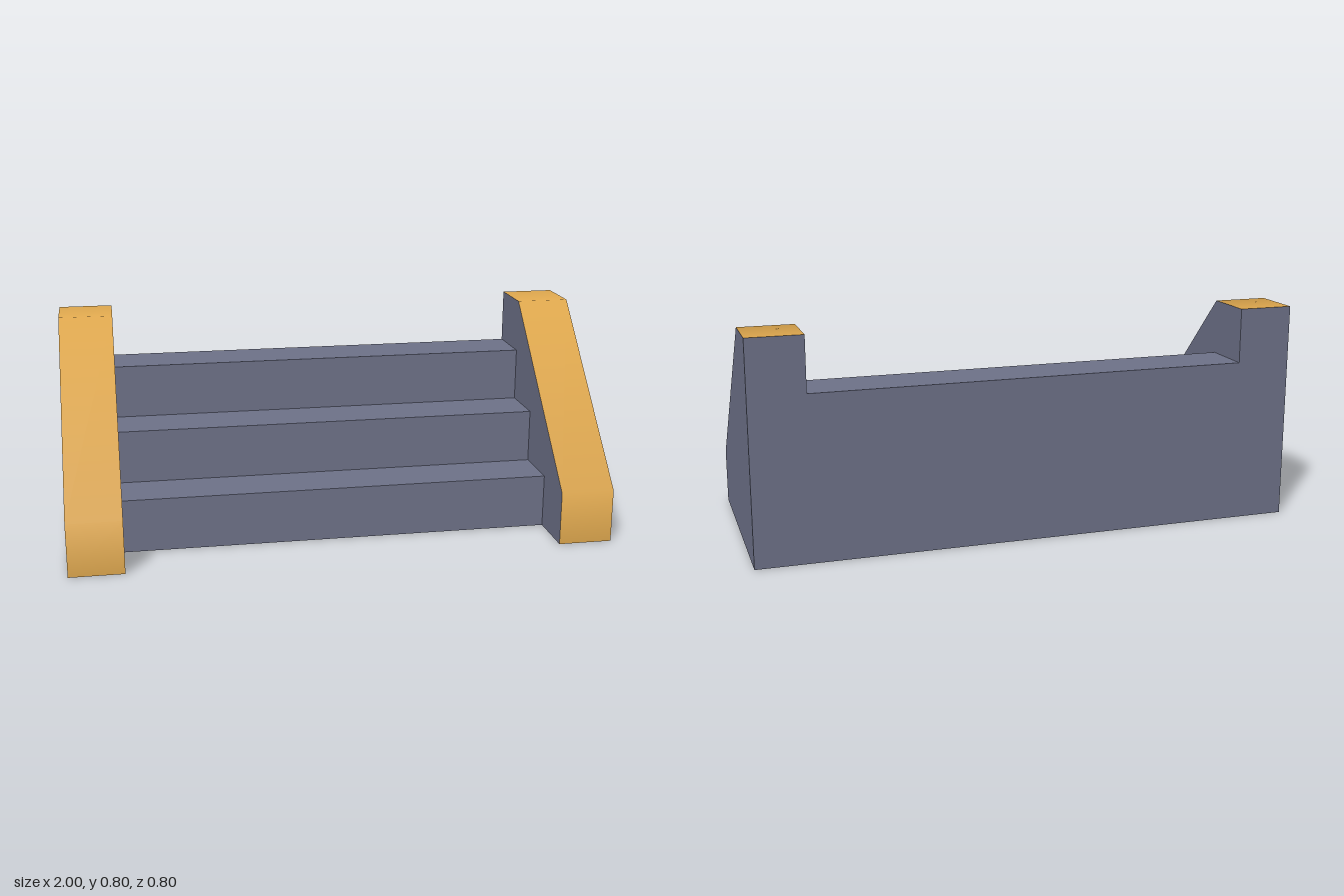
import * as THREE from 'three';

const slate = new THREE.MeshStandardMaterial({ color: 0x6f738a });
slate.name = 'slate blue';
const ochre = new THREE.MeshStandardMaterial({ color: 0xdfa84e });
ochre.name = 'ochre';

const WALL = 0.2; // side wall thickness
const STEP = 0.2; // tread depth and riser height

// Side outline of a wall as [z, y]: first four points carry the ochre cap
const wallProfile = [[0.4, 0], [0.4, 0.2], [-0.2, 0.8], [-0.4, 0.8], [-0.4, 0]];

function part(name, geometry, material) {
  const mesh = new THREE.Mesh(geometry, material);
  mesh.name = name;
  return mesh;
}

// Strip of the wall's width that follows [z, y] points, with smooth normals along it
function ribbon(points) {
  const segmentNormals = points.slice(1).map(([z, y], i) =>
    new THREE.Vector3(0, points[i][0] - z, y - points[i][1]).normalize());
  const position = [], normal = [], index = [];
  points.forEach(([z, y], i) => {
    const before = segmentNormals[Math.max(i - 1, 0)];
    const after = segmentNormals[Math.min(i, segmentNormals.length - 1)];
    const n = before.clone().add(after).normalize();
    position.push(-WALL / 2, y, z, WALL / 2, y, z);
    normal.push(...n.toArray(), ...n.toArray());
    if (i > 0) {
      const a = 2 * i - 2;
      index.push(a, a + 1, a + 3, a, a + 3, a + 2);
    }
  });
  const g = new THREE.BufferGeometry();
  g.setAttribute('position', new THREE.Float32BufferAttribute(position, 3));
  g.setAttribute('normal', new THREE.Float32BufferAttribute(normal, 3));
  g.setIndex(index);
  return g;
}

// Flat side of the wall, facing +x (sign 1) or -x (sign -1)
function wallSide(sign) {
  const shape = new THREE.Shape(wallProfile.map(([z, y]) => new THREE.Vector2(-sign * z, y)));
  return new THREE.ShapeGeometry(shape).rotateY(sign * Math.PI / 2).translate(sign * WALL / 2, 0, 0);
}

function sideWall(name) {
  const wall = new THREE.Group();
  wall.name = name;
  wall.add(
    part('wallCap', ribbon(wallProfile.slice(0, 4)), ochre),
    part('wallBack', ribbon(wallProfile.slice(3, 5)), slate),
    part('wallBase', ribbon([wallProfile[4], wallProfile[0]]), slate),
    part('wallLeftFace', wallSide(1), slate),
    part('wallRightFace', wallSide(-1), slate),
  );
  return wall;
}

// Three steps as one stepped profile drawn across the width
function stairs() {
  const shape = new THREE.Shape();
  shape.moveTo(-STEP, 0);
  for (let i = 0; i < 3; i++) {
    shape.lineTo((i - 1) * STEP, (i + 1) * STEP);
    shape.lineTo(i * STEP, (i + 1) * STEP);
  }
  shape.lineTo(2 * STEP, 0);
  shape.closePath();
  const width = 2 - 2 * WALL;
  const g = new THREE.ExtrudeGeometry(shape, { depth: width, bevelEnabled: false });
  return part('steps', g.rotateY(Math.PI / 2).translate(-width / 2, 0, 0), slate);
}

export function createModel() {
  const model = new THREE.Group();
  model.name = 'staircase';
  model.add(stairs());
  for (const [name, sign] of [['leftWall', 1], ['rightWall', -1]]) {
    const wall = sideWall(name);
    wall.position.x = sign * (1 - WALL / 2);
    model.add(wall);
  }
  return model;
}
